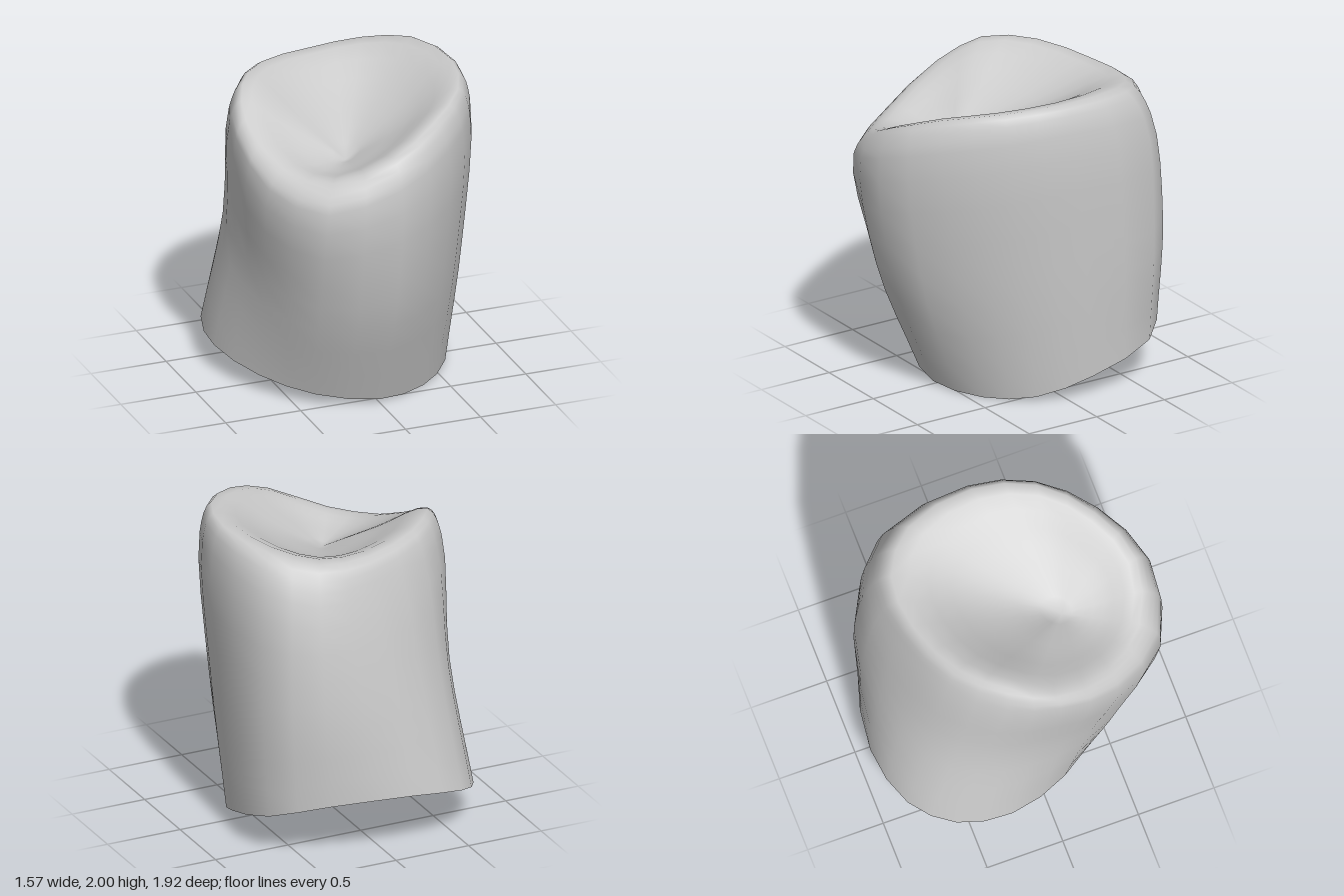
import * as THREE from 'three';

const V = (p) => new THREE.Vector3(...p);

// Twelve points round each ring, from +x towards +z
const BASE = [[.72, .14, -.16], [.59, .03, .18], [.35, 0, .42], [0, .02, .56], [-.38, .07, .45], [-.64, .12, .15],
  [-.78, .18, -.25], [-.73, .22, -.6], [-.53, .31, -.85], [-.15, .39, -.955], [.37, .37, -.84], [.68, .27, -.6]];
const SHOULDER = [[.77, 1.82, .02], [.66, 1.79, .42], [.39, 1.72, .75], [0, 1.6, .95], [-.45, 1.46, .85], [-.7, 1.52, .48],
  [-.765, 1.72, .08], [-.68, 1.78, -.25], [-.42, 1.77, -.55], [0, 1.71, -.72], [.4, 1.7, -.76], [.685, 1.76, -.56]];
const RIM = [[.69, 1.995, .03], [.58, 1.975, .42], [.31, 1.905, .7], [-.02, 1.775, .85], [-.38, 1.62, .74], [-.6, 1.64, .46],
  [-.69, 1.82, .06], [-.61, 1.945, -.2], [-.38, 1.95, -.46], [0, 1.915, -.62], [.35, 1.925, -.63], [.6, 1.975, -.42]];
// How far the wall swells (or pinches) half way up
const SWELL = [.02, .03, .06, .11, .06, -.01, -.06, -.05, -.02, .02, .06, .05];
const DISH = V([-.13, 1.57, .32]);

// Closed smooth ring with two columns per given point
const ring = (points) => new THREE.CatmullRomCurve3(points, true).getPoints(points.length * 2).slice(0, -1);

export function createModel() {
  const steps = 4;

  const middle = BASE.map((b, j) => {
    const a = (j / BASE.length) * Math.PI * 2;
    const out = new THREE.Vector3(Math.cos(a), 0, Math.sin(a)).multiplyScalar(SWELL[j]);
    return V(b).lerp(V(SHOULDER[j]), .5).add(out);
  });
  const inner = RIM.map((p) => V(p).lerp(DISH, .48));
  const rings = [BASE.map(V), middle, SHOULDER.map(V), RIM.map(V), inner].map(ring);

  // One smooth profile per column: wall, shoulder, rim, then into the dish
  const n = rings[0].length;
  const columns = rings[0].map((_, j) =>
    new THREE.CatmullRomCurve3([...rings.map((r) => r[j]), DISH]).getPoints(5 * steps).slice(0, -1));

  const rows = columns[0].length, positions = [], index = [];
  for (let r = 0; r < rows; r++) for (const c of columns) positions.push(c[r].x, c[r].y, c[r].z);
  positions.push(DISH.x, DISH.y, DISH.z);
  for (let r = 0; r < rows; r++) {
    for (let j = 0; j < n; j++) {
      const a = r * n + j, b = r * n + (j + 1) % n;
      if (r === rows - 1) index.push(a, rows * n, b); // fan closing the dish
      else index.push(a, a + n, b + n, a, b + n, b);
    }
  }

  const geometry = new THREE.BufferGeometry();
  geometry.setAttribute('position', new THREE.Float32BufferAttribute(positions, 3));
  geometry.setIndex(index);
  geometry.computeVertexNormals();

  // Hollow shell, open at the slanted base
  const shell = new THREE.Mesh(geometry, new THREE.MeshStandardMaterial({ color: 0xcccccc, side: THREE.DoubleSide }));
  shell.name = 'dishedShell';
  const group = new THREE.Group();
  group.name = 'dishedStump';
  group.add(shell);
  return group;
}
